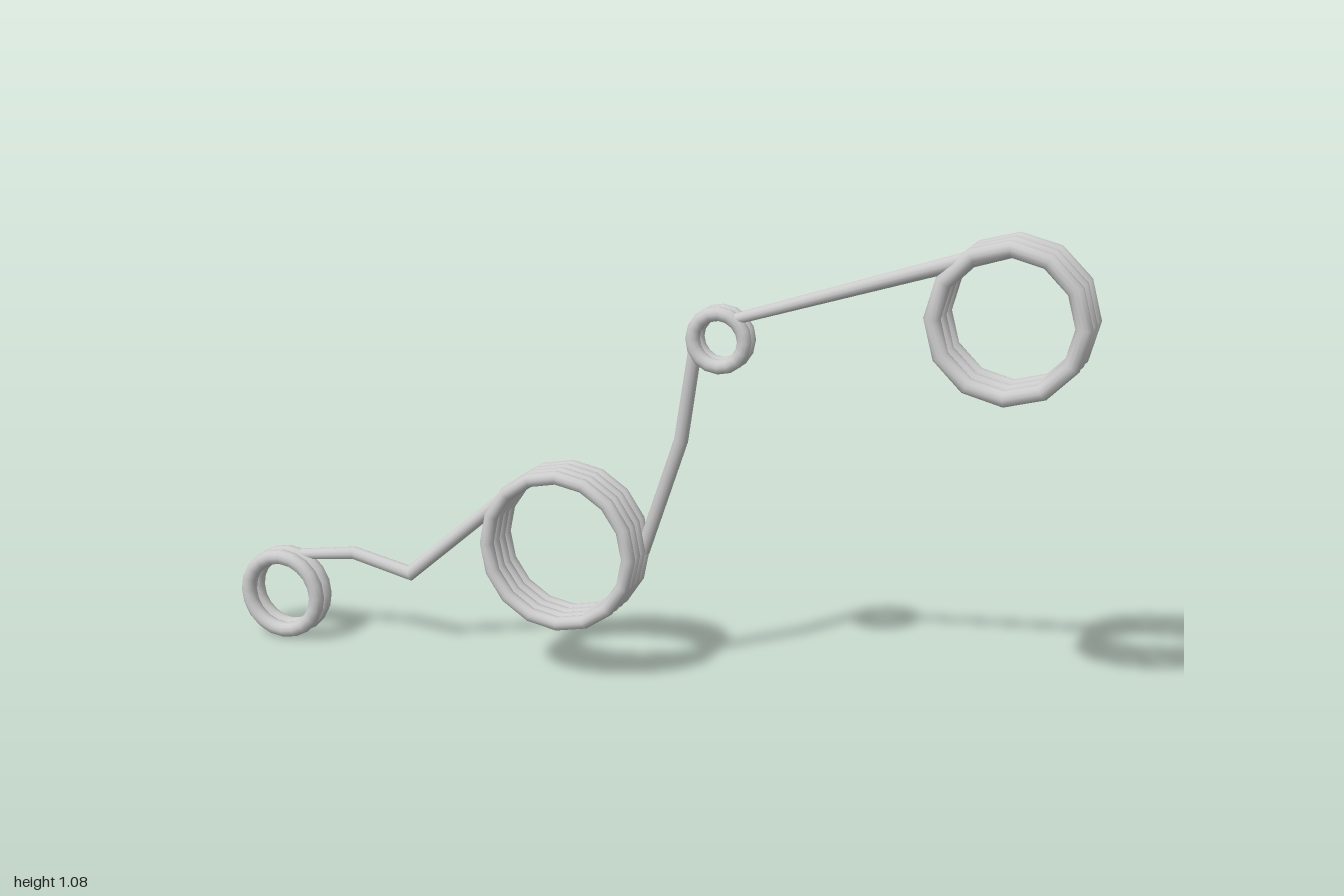
import * as THREE from 'three';

const material = new THREE.MeshStandardMaterial({ color: 0xcccccc });

// Stack of closed rings sharing an axis along z
function coil(name, x, y, radius, wire, segments, depths) {
  const group = new THREE.Group();
  group.name = name;
  const geometry = new THREE.TorusGeometry(radius, wire, 12, segments);
  depths.forEach((z, i) => {
    const ring = new THREE.Mesh(geometry, material);
    ring.name = `${name}Turn${i + 1}`;
    ring.position.set(x, y, z);
    group.add(ring);
  });
  return group;
}

// Round wire along a bent path with mitred corners; points are [x, y, z, radius]
function wire(name, points) {
  const sides = 12, positions = [], index = [];
  const path = points.map(p => new THREE.Vector3(p[0], p[1], p[2]));
  const last = path.length - 1;
  const direction = i => path[i + 1].clone().sub(path[i]).normalize();
  path.forEach((p, i) => {
    const before = direction(Math.max(i - 1, 0));
    const after = direction(Math.min(i, last - 1));
    const tangent = before.clone().add(after).normalize();
    const across = new THREE.Vector3(-tangent.y, tangent.x, 0).normalize();
    const depth = tangent.clone().cross(across);
    const mitre = 1 / tangent.dot(after);
    for (let j = 0; j < sides; j++) {
      const a = (j / sides) * Math.PI * 2, r = points[i][3];
      const v = p.clone()
        .addScaledVector(across, Math.cos(a) * r * mitre)
        .addScaledVector(depth, Math.sin(a) * r);
      positions.push(v.x, v.y, v.z);
      if (i < last) {
        const k = (j + 1) % sides, lo = i * sides, hi = lo + sides;
        index.push(lo + j, lo + k, hi + j, lo + k, hi + k, hi + j);
      }
    }
  });
  // End caps
  for (let j = 1; j < sides - 1; j++) {
    const e = last * sides;
    index.push(0, j + 1, j, e, e + j, e + j + 1);
  }
  const geometry = new THREE.BufferGeometry();
  geometry.setAttribute('position', new THREE.Float32BufferAttribute(positions, 3));
  geometry.setIndex(index);
  geometry.computeVertexNormals();
  const mesh = new THREE.Mesh(geometry, material);
  mesh.name = name;
  return mesh;
}

export function createModel() {
  const model = new THREE.Group();
  model.name = 'coiledWire';

  // Coils, from the low end to the high end
  model.add(
    coil('lowerEndCoil', -0.89, 0.113, 0.092, 0.018, 20, [0.009, -0.028]),
    coil('mainCoil', -0.16, 0.316, 0.172, 0.016, 16, [0.041, 0.01, -0.021, -0.052]),
    coil('smallCoil', 0.21, 0.825, 0.058, 0.016, 16, [0.022, -0.008]),
    coil('upperEndCoil', 0.828, 0.914, 0.153, 0.018, 12, [0.053, 0.002, -0.048]),
  );

  // Straight and bent runs joining the coils
  model.add(
    wire('lowerRun', [
      [-0.87, 0.203, -0.029, 0.013], [-0.717, 0.222, -0.036, 0.015],
      [-0.572, 0.187, -0.042, 0.016], [-0.275, 0.443, -0.052, 0.016],
    ]),
    wire('middleRun', [
      [0.012, 0.31, -0.052, 0.016], [0.11, 0.583, -0.027, 0.016],
      [0.152, 0.825, -0.008, 0.015],
    ]),
    wire('upperRun', [
      [0.24, 0.872, 0.022, 0.012], [0.828, 1.066, 0.053, 0.018],
    ]),
  );
  return model;
}
